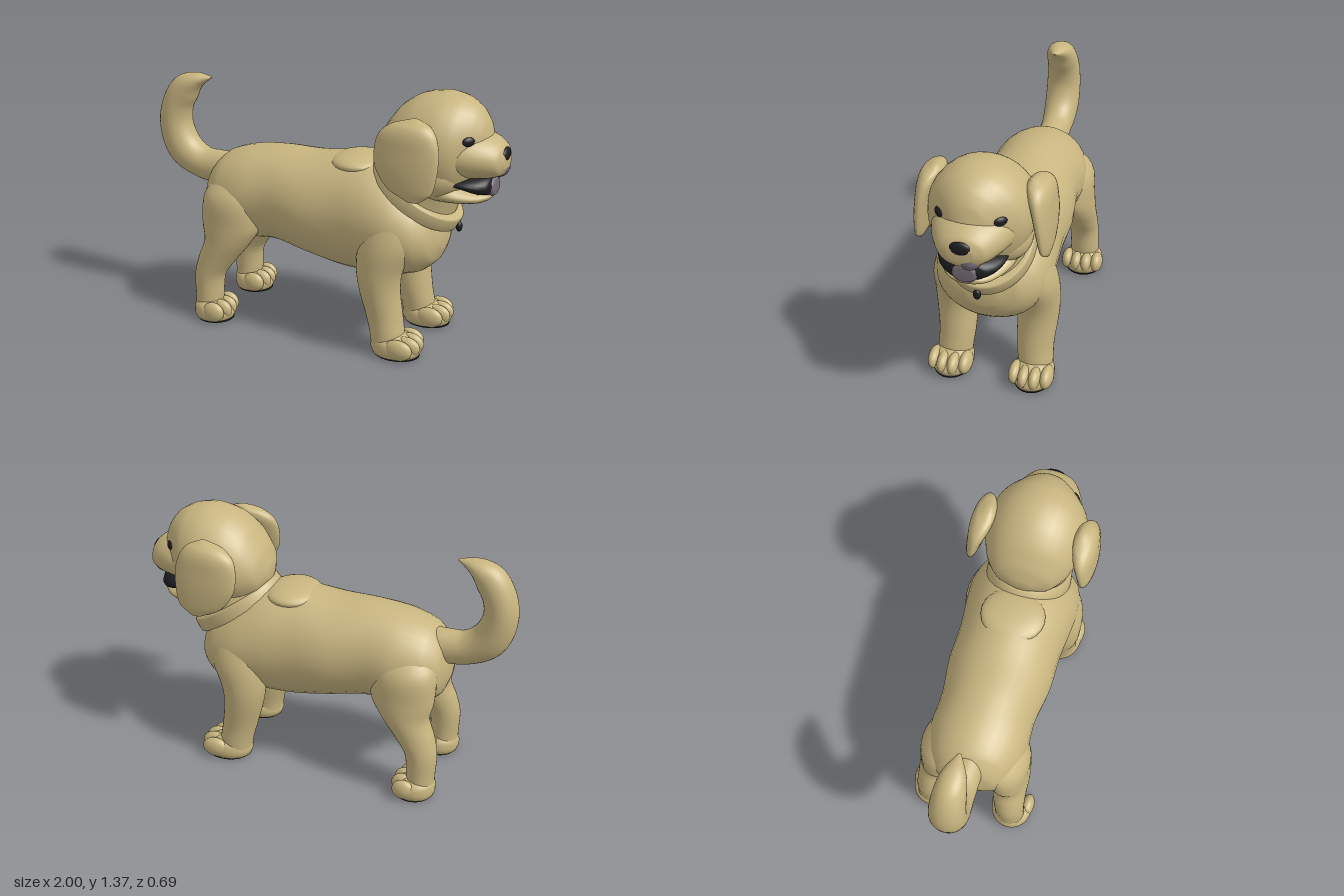
import * as THREE from 'three';

const material = (name, color) => {
  const m = new THREE.MeshStandardMaterial({ color });
  m.name = name;
  return m;
};
const V = (x, y, z) => new THREE.Vector3(x, y, z);
const UP = V(0, 1, 0), ALONG = V(1, 0, 0), NECK = V(0.55, 0.83, 0).normalize();

// Smooth closed skin over elliptical rings [x, y, z, radius in the xy plane, radius in z]
function loft(rows, axis, steps = 5, sides = 32) {
  const path = new THREE.CatmullRomCurve3(rows.map(r => V(r[0], r[1], r[2])));
  const size = new THREE.CatmullRomCurve3(rows.map((r, i) => V(r[3], r[4], i * 0.1)));
  const count = (rows.length - 1) * steps, pos = [], index = [];
  for (let i = 0; i <= count; i++) {
    const c = path.getPoint(i / count), s = size.getPoint(i / count);
    const t = axis || path.getTangent(i / count);
    const n = V(0, 0, 1).cross(t).normalize();
    for (let j = 0; j < sides; j++) {
      const a = j / sides * Math.PI * 2;
      const p = c.clone().addScaledVector(n, Math.cos(a) * Math.max(s.x, 0.003));
      pos.push(p.x, p.y, p.z + Math.sin(a) * Math.max(s.y, 0.003));
    }
  }
  const first = (count + 1) * sides, last = first + 1;
  pos.push(...path.getPoint(0).toArray(), ...path.getPoint(1).toArray());
  for (let j = 0; j < sides; j++) {
    const k = (j + 1) % sides;
    for (let i = 0; i < count; i++) {
      const a = i * sides + j, b = i * sides + k;
      index.push(a, b, b + sides, a, b + sides, a + sides);
    }
    index.push(first, k, j, last, count * sides + j, count * sides + k);
  }
  const g = new THREE.BufferGeometry();
  g.setAttribute('position', new THREE.Float32BufferAttribute(pos, 3));
  g.setIndex(index);
  g.computeVertexNormals();
  return g;
}

export function createModel() {
  const fur = material('tan fur', 0xc8b580);
  const black = material('black', 0x1d1c1e);
  const grey = material('mauve grey', 0x756b75);
  const dog = new THREE.Group();
  dog.name = 'puppy';

  const add = (name, geometry, mat) => {
    const m = new THREE.Mesh(geometry, mat);
    m.name = name;
    dog.add(m);
    return m;
  };
  const ball = new THREE.SphereGeometry(1, 24, 16);
  const blob = (name, mat, p, s) => {
    const m = add(name, ball, mat);
    m.position.set(...p);
    m.scale.set(...s);
    return m;
  };

  // Torso with a fold of skin behind the neck
  add('body', loft([
    [-0.67, 0.66, 0, 0.06, 0.07], [-0.64, 0.67, 0, 0.15, 0.16], [-0.56, 0.68, 0, 0.22, 0.225],
    [-0.42, 0.69, 0, 0.255, 0.26], [-0.25, 0.705, 0, 0.26, 0.255], [-0.05, 0.685, 0, 0.28, 0.28],
    [0.15, 0.675, 0, 0.31, 0.28], [0.32, 0.672, 0, 0.308, 0.295], [0.46, 0.65, 0, 0.275, 0.3],
    [0.58, 0.625, 0, 0.215, 0.265], [0.65, 0.61, 0, 0.14, 0.19], [0.685, 0.6, 0, 0.05, 0.07],
  ], ALONG), fur);
  blob('shoulderFold', fur, [0.2, 0.945, 0], [0.15, 0.05, 0.17]);

  // Tail curling up and forward
  add('tail', loft([
    [-0.48, 0.78, 0, 0.1, 0.1], [-0.62, 0.785, 0, 0.095, 0.085], [-0.75, 0.8, 0, 0.09, 0.085],
    [-0.86, 0.87, 0, 0.098, 0.095], [-0.91, 1, 0, 0.09, 0.095], [-0.895, 1.12, 0, 0.085, 0.09],
    [-0.84, 1.21, 0, 0.08, 0.08], [-0.77, 1.26, 0, 0.045, 0.06], [-0.68, 1.285, 0, 0.004, 0.008],
  ]), fur);

  // Neck and tilted collar
  add('neck', loft([
    [0.4, 0.66, 0, 0.26, 0.27], [0.5, 0.83, 0, 0.25, 0.21], [0.6, 0.98, 0, 0.2, 0.2],
  ], NECK), fur);
  add('collar', loft([[-0.042, 0.26], [-0.032, 0.272], [0.032, 0.268], [0.042, 0.256]].map(
    ([d, r]) => [0.52 + NECK.x * d, 0.828 + NECK.y * d, 0, r, r - 0.045]), NECK, 2, 48), fur);
  blob('collarTag', black, [0.753, 0.668, 0], [0.016, 0.028, 0.02]);

  // Head, muzzle and lower jaw
  add('skull', loft([
    [0.325, 1.04, 0, 0.04, 0.05], [0.36, 1.05, 0, 0.12, 0.15], [0.44, 1.07, 0, 0.21, 0.215],
    [0.54, 1.09, 0, 0.255, 0.25], [0.66, 1.095, 0, 0.275, 0.262], [0.76, 1.1, 0, 0.255, 0.232],
    [0.84, 1.12, 0, 0.19, 0.155], [0.885, 1.14, 0, 0.11, 0.095], [0.91, 1.14, 0, 0.03, 0.04],
  ], ALONG), fur);
  add('muzzle', loft([
    [0.7, 1.07, 0, 0.13, 0.21], [0.78, 1.075, 0, 0.13, 0.205], [0.85, 1.073, 0, 0.122, 0.185],
    [0.92, 1.065, 0, 0.105, 0.15], [0.97, 1.057, 0, 0.078, 0.112], [0.992, 1.055, 0, 0.04, 0.06],
  ], ALONG), fur);
  add('lowerJaw', loft([
    [0.6, 0.9, 0, 0.08, 0.2], [0.74, 0.88, 0, 0.062, 0.185], [0.82, 0.866, 0, 0.044, 0.15],
    [0.88, 0.862, 0, 0.032, 0.11], [0.915, 0.867, 0, 0.021, 0.07], [0.928, 0.87, 0, 0.008, 0.03],
  ], ALONG), fur);

  // Open mouth, tongue, lip and nose
  add('mouth', loft([
    [0.74, 0.945, 0, 0.025, 0.17], [0.82, 0.936, 0, 0.042, 0.165], [0.88, 0.926, 0, 0.052, 0.14],
    [0.92, 0.922, 0, 0.047, 0.1], [0.934, 0.92, 0, 0.025, 0.06],
  ], ALONG), black);
  add('tongue', loft([
    [0.82, 0.912, 0, 0.02, 0.04], [0.88, 0.916, 0, 0.046, 0.06], [0.928, 0.915, 0, 0.05, 0.064],
    [0.942, 0.912, 0, 0.038, 0.05],
  ], ALONG), grey);
  blob('upperLip', grey, [0.93, 1.01, -0.033], [0.064, 0.058, 0.058]);
  blob('nose', black, [0.979, 1.085, 0], [0.021, 0.036, 0.056]);

  // Flat-bottomed paw with four toes and a dark sole
  const paw = (name, x, z, length) => {
    add(name, loft([
      [x, 0.007, z, length * 0.92, 0.1], [x, 0.04, z, length, 0.11],
      [x - 0.01, 0.085, z, length * 0.85, 0.1], [x - 0.025, 0.125, z, length * 0.35, 0.05],
    ], UP), fur);
    for (let i = 0; i < 4; i++) {
      const inner = i === 1 || i === 2;
      blob(name + 'Toe', fur, [x + length * (inner ? 0.5 : 0.33), 0.06, z + (i - 1.5) * 0.056],
        [length * 0.56, 0.056, 0.035]);
    }
    const sole = add(name + 'Sole', new THREE.CylinderGeometry(1, 1, 0.009, 28), black);
    sole.position.set(x + 0.005, 0.0045, z);
    sole.scale.set(length * 0.9, 1, 0.098);
  };

  // Paired parts
  for (const s of [1, -1]) {
    const side = s > 0 ? 'left' : 'right';
    const mirror = rows => rows.map(([x, y, z, a, b]) => [x, y, z * s, a, b]);
    blob(side + 'Cheek', fur, [0.64, 0.975, 0.12 * s], [0.155, 0.125, 0.13]);
    const eye = blob(side + 'Eye', black, [0.833, 1.168, 0.146 * s], [0.018, 0.025, 0.036]);
    eye.rotation.y = -s * 0.72;
    add(side + 'Ear', loft(mirror([
      [0.62, 0.88, 0.318, 0.03, 0.01], [0.6, 0.93, 0.312, 0.115, 0.028],
      [0.575, 1.03, 0.302, 0.162, 0.042], [0.57, 1.13, 0.288, 0.168, 0.05],
      [0.57, 1.205, 0.272, 0.147, 0.058], [0.58, 1.25, 0.258, 0.1, 0.05],
      [0.595, 1.278, 0.245, 0.02, 0.015],
    ]), UP), fur);
    add(side + 'FrontLeg', loft(mirror([
      [0.46, 0.03, 0.22, 0.08, 0.09], [0.46, 0.1, 0.218, 0.09, 0.093],
      [0.44, 0.2, 0.212, 0.096, 0.098], [0.412, 0.35, 0.217, 0.108, 0.108],
      [0.41, 0.45, 0.217, 0.122, 0.114], [0.44, 0.6, 0.195, 0.15, 0.128],
      [0.45, 0.75, 0.155, 0.13, 0.112], [0.44, 0.85, 0.11, 0.06, 0.05],
    ]), UP), fur);
    add(side + 'HindLeg', loft(mirror([
      [-0.6, 0.03, 0.225, 0.07, 0.085], [-0.595, 0.12, 0.225, 0.076, 0.08],
      [-0.59, 0.25, 0.22, 0.086, 0.082], [-0.545, 0.35, 0.21, 0.11, 0.09],
      [-0.49, 0.45, 0.2, 0.132, 0.1], [-0.47, 0.55, 0.185, 0.17, 0.11],
      [-0.47, 0.7, 0.16, 0.165, 0.12], [-0.46, 0.82, 0.1, 0.1, 0.08],
    ]), UP), fur);
    paw(side + 'FrontPaw', 0.51, 0.22 * s, 0.135);
    paw(side + 'HindPaw', -0.565, 0.228 * s, 0.112);
  }
  return dog;
}
